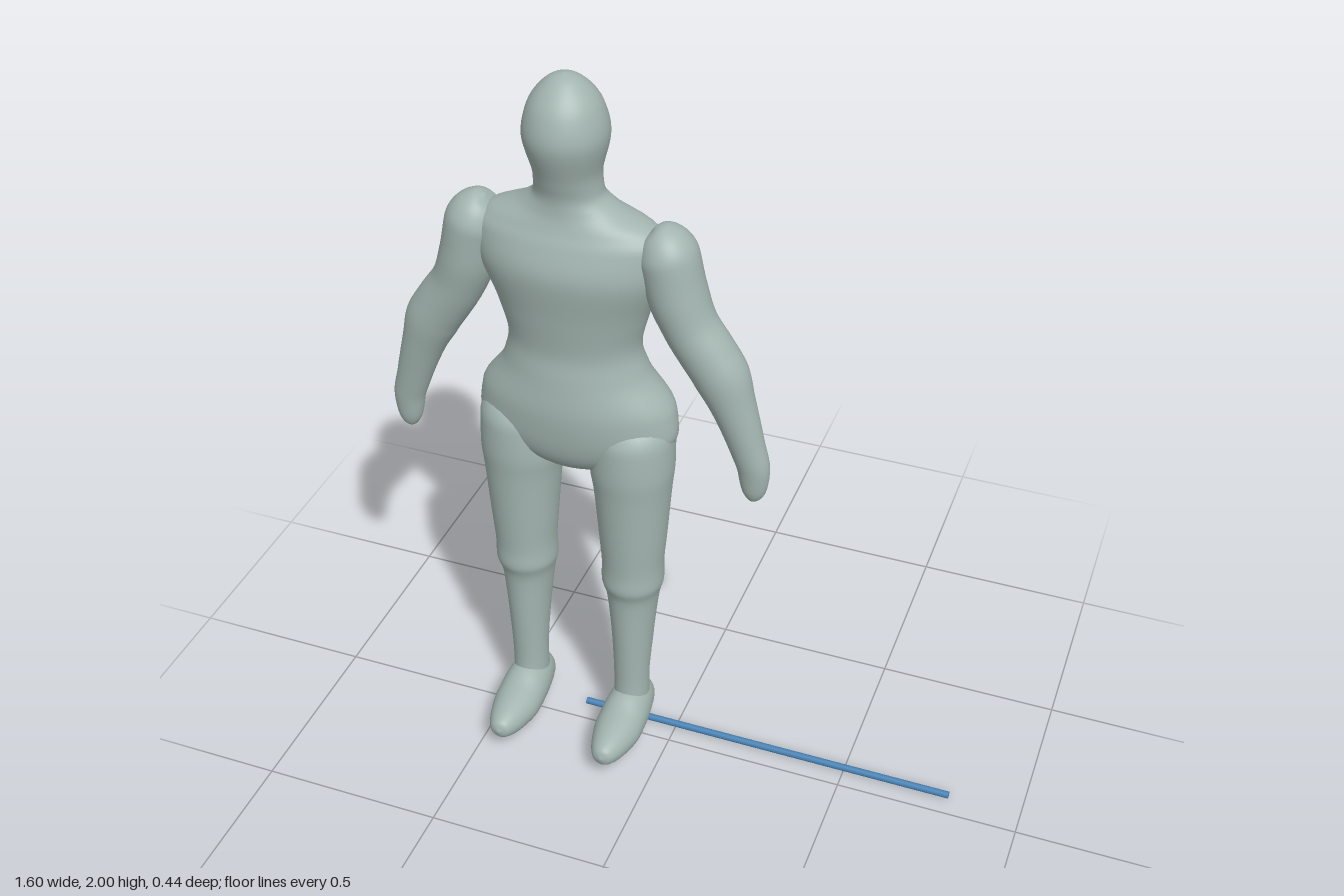
import * as THREE from 'three';
import { mergeVertices } from 'three/addons/utils/BufferGeometryUtils.js';

const bodyMat = new THREE.MeshStandardMaterial({ color: 0xa3b5b0 });
bodyMat.name = 'grey green body';
const rodMat = new THREE.MeshStandardMaterial({ color: 0x4682b4 });
rodMat.name = 'blue rod';

// Smooth monotone interpolation through rows of numbers
function refine(rows, steps) {
  const slope = (i, k) => {
    const a = i > 0 ? rows[i][k] - rows[i - 1][k] : null;
    const b = i < rows.length - 1 ? rows[i + 1][k] - rows[i][k] : null;
    if (a === null) return b;
    if (b === null) return a;
    return a * b <= 0 ? 0 : (2 * a * b) / (a + b);
  };
  const out = [];
  for (let i = 0; i < rows.length - 1; i++) {
    for (let s = 0; s < steps; s++) {
      const t = s / steps, t2 = t * t, t3 = t2 * t;
      out.push(rows[i].map((p, k) =>
        (2 * t3 - 3 * t2 + 1) * p + (t3 - 2 * t2 + t) * slope(i, k) +
        (3 * t2 - 2 * t3) * rows[i + 1][k] + (t3 - t2) * slope(i + 1, k)));
    }
  }
  out.push(rows[rows.length - 1]);
  return out;
}

// Skin of elliptical sections; each row is [x, y, z, radiusA, radiusB], radiusB along ref
function loft(rows, ref, sides = 36, steps = 5) {
  const r = refine(rows, steps);
  const at = (i) => new THREE.Vector3(...r[Math.min(Math.max(i, 0), r.length - 1)].slice(0, 3));
  const pos = [], index = [];
  r.forEach(([, , , ra, rb], i) => {
    const tangent = at(i + 1).sub(at(i - 1));
    const side = ref.clone().cross(tangent).normalize();
    for (let j = 0; j < sides; j++) {
      const a = (j / sides) * Math.PI * 2;
      const p = at(i).addScaledVector(side, Math.cos(a) * ra).addScaledVector(ref, Math.sin(a) * rb);
      pos.push(p.x, p.y, p.z);
      if (i < r.length - 1) {
        const p0 = i * sides + j, p1 = i * sides + ((j + 1) % sides);
        index.push(p0, p1, p0 + sides, p1, p1 + sides, p0 + sides);
      }
    }
  });
  const g = new THREE.BufferGeometry();
  g.setAttribute('position', new THREE.Float32BufferAttribute(pos, 3));
  g.setIndex(index);
  const merged = mergeVertices(g, 1e-5);
  merged.computeVertexNormals();
  return merged;
}

const X = new THREE.Vector3(1, 0, 0), Y = new THREE.Vector3(0, 1, 0), Z = new THREE.Vector3(0, 0, 1);

// Torso, neck and head: [y, half width, front z, back z]
const trunkRows = [
  [0.885, 0, -0.06, -0.06], [0.892, 0.04, -0.03, -0.1], [0.92, 0.13, 0.02, -0.145],
  [0.97, 0.235, 0.05, -0.185], [1.03, 0.272, 0.062, -0.206], [1.1, 0.262, 0.066, -0.218],
  [1.2, 0.196, 0.055, -0.197], [1.28, 0.177, 0.045, -0.175], [1.38, 0.2, 0.055, -0.178],
  [1.5, 0.245, 0.07, -0.19], [1.58, 0.252, 0.05, -0.178], [1.62, 0.22, 0.032, -0.162],
  [1.66, 0.13, 0.02, -0.145], [1.7, 0.088, 0.018, -0.135], [1.75, 0.084, 0.03, -0.14],
  [1.85, 0.105, 0.058, -0.165], [1.92, 0.091, 0.042, -0.148], [1.97, 0.058, 0.005, -0.112],
  [1.992, 0.028, -0.025, -0.081], [2, 0, -0.053, -0.053],
];

// Arm, shoulder to fingertips: [x, y, radius across, radius in z]
const armRows = [
  [0.222, 1.64, 0, 0], [0.228, 1.632, 0.03, 0.035], [0.24, 1.605, 0.06, 0.065],
  [0.255, 1.56, 0.075, 0.08], [0.275, 1.47, 0.075, 0.08], [0.31, 1.38, 0.07, 0.073],
  [0.355, 1.31, 0.072, 0.07], [0.39, 1.255, 0.072, 0.068], [0.425, 1.17, 0.058, 0.058],
  [0.462, 1.06, 0.047, 0.045], [0.484, 0.98, 0.042, 0.036], [0.486, 0.92, 0.032, 0.028],
  [0.485, 0.892, 0.015, 0.015], [0.485, 0.883, 0, 0],
];

// Leg, hip to ankle: [y, inner x, outer x, front z, back z]
const legRows = [
  [1.12, 0.15, 0.15, -0.07, -0.07], [1.09, 0.09, 0.21, 0, -0.14], [1.02, 0.045, 0.265, 0.052, -0.175],
  [0.93, 0.042, 0.267, 0.057, -0.166], [0.85, 0.052, 0.26, 0.052, -0.155], [0.7, 0.065, 0.248, 0.046, -0.14],
  [0.6, 0.072, 0.24, 0.042, -0.13], [0.55, 0.071, 0.24, 0.045, -0.132], [0.5, 0.082, 0.228, 0.032, -0.125],
  [0.35, 0.098, 0.212, 0.028, -0.105], [0.2, 0.105, 0.203, 0.025, -0.08], [0.12, 0.105, 0.203, 0.03, -0.085],
  [0.08, 0.154, 0.154, -0.03, -0.03],
];

// Foot, heel to toe: [z, half width, bottom y, top y]
const footRows = [
  [-0.113, 0, 0.09, 0.09], [-0.108, 0.025, 0.065, 0.115], [-0.085, 0.046, 0.04, 0.145],
  [-0.04, 0.058, 0.025, 0.17], [0.02, 0.065, 0.02, 0.165], [0.08, 0.066, 0.022, 0.146],
  [0.14, 0.055, 0.032, 0.135], [0.185, 0.04, 0.046, 0.124], [0.21, 0.024, 0.062, 0.112],
  [0.22, 0, 0.088, 0.088],
];

export function createModel() {
  const model = new THREE.Group();
  model.name = 'figureWithRod';
  const figure = new THREE.Group();
  figure.name = 'figure';
  figure.position.x = -0.275;
  model.add(figure);

  const add = (name, geometry) => {
    const mesh = new THREE.Mesh(geometry, bodyMat);
    mesh.name = name;
    figure.add(mesh);
  };

  add('torsoAndHead', loft(trunkRows.map(([y, w, f, b]) => [0, y, (f + b) / 2, w, (f - b) / 2]), Z, 48));

  for (const [side, s] of [['left', 1], ['right', -1]]) {
    add(side + 'Arm', loft(armRows.map(([x, y, a, b]) => [s * x, y, -0.057, a, b]), Z));
    // Leg sections stay level, so x is shifted by the section centre
    add(side + 'Leg', loft(legRows.map(([y, i, o, f, b]) =>
      [s * (i + o) / 2, y, (f + b) / 2, (o - i) / 2, (f - b) / 2]), Z));
    add(side + 'Foot', loft(footRows.map(([z, w, lo, hi]) =>
      [s * 0.154, (lo + hi) / 2, z, w, (hi - lo) / 2]), Y));
  }

  // Thin rod on the ground
  const rod = new THREE.Mesh(new THREE.CylinderGeometry(0.01, 0.01, 1.075, 12), rodMat);
  rod.name = 'groundRod';
  rod.rotation.z = Math.PI / 2;
  rod.position.set(0.2625, 0.01, -0.06);
  model.add(rod);
  return model;
}
